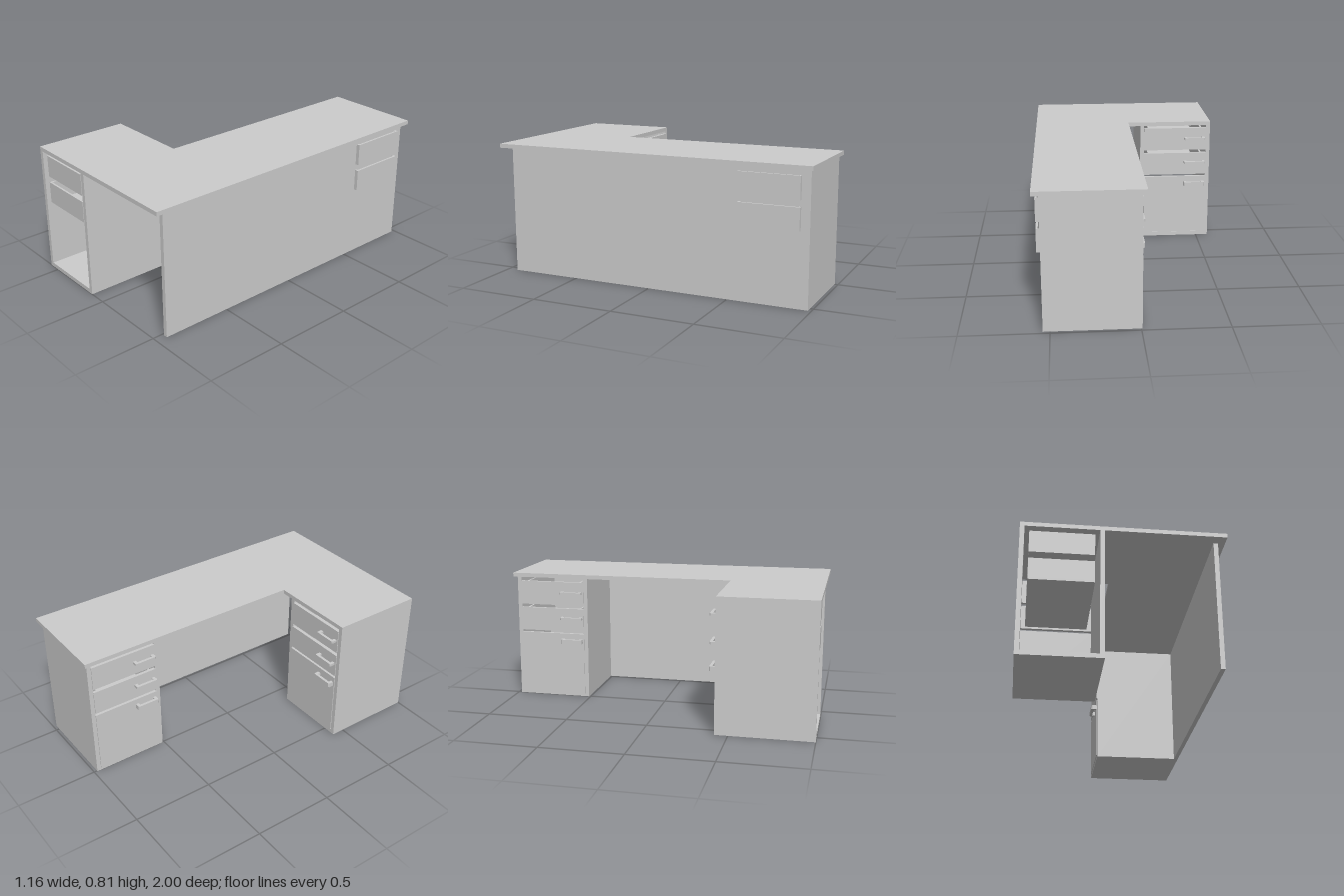
import * as THREE from 'three';

const material = new THREE.MeshStandardMaterial({ color: 0xcccccc });

// Box given by its min and max corners
function box(parent, name, [x0, y0, z0], [x1, y1, z1]) {
  const mesh = new THREE.Mesh(new THREE.BoxGeometry(x1 - x0, y1 - y0, z1 - z0), material);
  mesh.position.set((x0 + x1) / 2, (y0 + y1) / 2, (z0 + z1) / 2);
  mesh.name = name;
  parent.add(mesh);
  return mesh;
}

// Plan outline (x, z) raised from y = 0 to the given height
function plate(points, height) {
  const shape = new THREE.Shape(points.map(([x, z]) => new THREE.Vector2(x, -z)));
  return new THREE.ExtrudeGeometry(shape, { depth: height, bevelEnabled: false }).rotateX(-Math.PI / 2);
}

// Bow handle reaching out towards -z
function handle(parent, x, y, z, height) {
  const geometry = plate([
    [-0.07, 0], [-0.07, -0.028], [-0.064, -0.035], [0.064, -0.035], [0.07, -0.028], [0.07, 0],
    [0.05, 0], [0.05, -0.018], [-0.05, -0.018], [-0.05, 0],
  ], height);
  const mesh = new THREE.Mesh(geometry, material);
  mesh.position.set(x, y, z);
  mesh.name = 'handle';
  parent.add(mesh);
}

// Drawer unit, fronts towards -z, open behind; drop lowers the drawers a little
function pedestal(name, depth, drop) {
  const group = new THREE.Group();
  group.name = name;
  const w = 0.235, t = 0.026, top = 0.785;
  for (const s of [-1, 1]) {
    const a = s * w, b = s * (w - t);
    box(group, 'sidePanel', [Math.min(a, b), 0, 0], [Math.max(a, b), top, depth]);
  }
  box(group, 'bottomPanel', [-w + t, 0, 0], [w - t, t, depth]);

  // Drawer fronts: bottom, top, handle bottom, handle height, has a box behind
  const rows = [
    [0.617, 0.768, 0.692, 0.014, true],
    [0.445, 0.595, 0.526, 0.015, true],
    [0.029, 0.43, 0.368, 0.028, false],
  ];
  for (const [y0, y1, hy, hh, hasBox] of rows) {
    const drawer = new THREE.Group();
    drawer.name = hasBox ? 'drawer' : 'fileDrawer';
    drawer.position.y = -drop;
    group.add(drawer);
    const fz = -0.005, bz = 0.014;
    box(drawer, 'drawerFront', [-w + t, y0, fz], [w - t, y1, bz]);
    handle(drawer, -0.13, hy, fz, hh);
    if (!hasBox) continue;
    // Open-topped tray
    const x = 0.182, end = 0.567, k = 0.012, b0 = y0 + 0.012, b1 = y1 - 0.005;
    box(drawer, 'trayBottom', [-x, b0, bz], [x, b0 + k, end]);
    box(drawer, 'traySide', [-x, b0 + k, bz], [-x + k, b1, end]);
    box(drawer, 'traySide', [x - k, b0 + k, bz], [x, b1, end]);
    box(drawer, 'trayBack', [-x + k, b0 + k, end - k], [x - k, b1, end]);
  }
  return group;
}

export function createModel() {
  const desk = new THREE.Group();
  desk.name = 'cornerDesk';

  // L-shaped top
  const top = new THREE.Mesh(plate([
    [-0.58, 1], [0.58, 1], [0.58, -1], [-0.03, -1], [-0.03, 0.42], [-0.58, 0.42],
  ], 0.025), material);
  top.position.y = 0.785;
  top.name = 'desktop';
  desk.add(top);

  // Long panel down the left side
  box(desk, 'modestyPanel', [0.514, 0, -0.98], [0.54, 0.785, 0.935]);

  const side = pedestal('returnPedestal', 0.58, 0);
  side.position.set(-0.345, 0, 0.42);
  desk.add(side);

  const main = pedestal('mainPedestal', 0.519, 0.012);
  main.rotation.y = Math.PI / 2;
  main.position.set(-0.005, 0, -0.745);
  desk.add(main);

  return desk;
}
